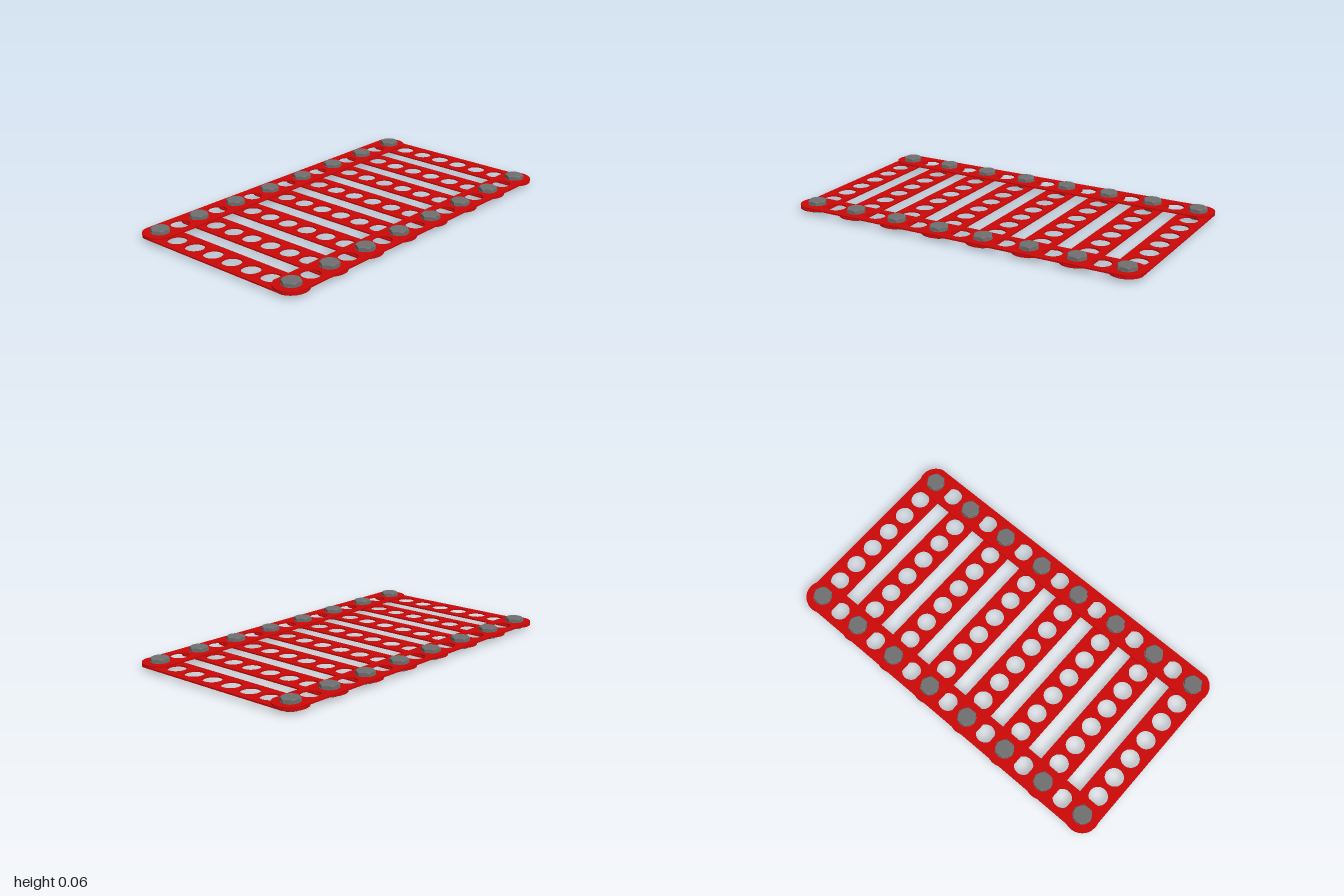
import * as THREE from 'three';

const PITCH = 0.13;      // hole spacing
const HOLE_R = 0.05;
const HALF_W = 0.0865;   // half width of a strip
const END_R = 0.09;      // radius of the rounded ends
const THICK = 0.008;

// Flat perforated strip along x, lying in the xz plane with its underside at y = 0
function stripGeometry(holes) {
  const reach = ((holes - 1) / 2) * PITCH;
  const a = Math.asin(HALF_W / END_R);
  const shape = new THREE.Shape();
  shape.absarc(reach, 0, END_R, -a, a, false);
  shape.absarc(-reach, 0, END_R, Math.PI - a, Math.PI + a, false);
  shape.closePath();
  for (let i = 0; i < holes; i++) {
    const hole = new THREE.Path();
    hole.absarc(-reach + i * PITCH, 0, HOLE_R, 0, Math.PI * 2, true);
    shape.holes.push(hole);
  }
  const geo = new THREE.ExtrudeGeometry(shape, { depth: THICK, bevelEnabled: false, curveSegments: 16 });
  return geo.rotateX(-Math.PI / 2);
}

// Hexagonal block with its upper corners chamfered, standing on y = 0
function hexGeometry(radius, height) {
  const flat = radius * Math.cos(Math.PI / 6);
  const geo = new THREE.CylinderGeometry(1, 1, height, 24, 2);
  const p = geo.attributes.position;
  for (let i = 0; i < p.count; i++) {
    const x = p.getX(i), y = p.getY(i), z = p.getZ(i);
    if (Math.hypot(x, z) < 0.5) continue;
    const sector = Math.PI / 3;
    const t = (Math.atan2(x, z) + Math.PI * 2) % sector - sector / 2;
    const hex = flat / Math.cos(t);
    const r = y > height * 0.4 ? flat * 0.97 : hex;
    const ny = Math.abs(y) < 1e-6 ? height / 2 - 0.0015 - (hex - flat) * 0.6 : y;
    p.setXYZ(i, x * r, ny, z * r);
  }
  const out = geo.toNonIndexed();
  out.computeVertexNormals();
  return out.translate(0, height / 2, 0);
}

export function createModel() {
  const model = new THREE.Group();
  model.name = 'perforatedGrid';
  const red = new THREE.MeshStandardMaterial({ color: 0xcc0808 });
  red.name = 'red paint';
  const grey = new THREE.MeshStandardMaterial({ color: 0x707070 });
  grey.name = 'grey steel';

  const add = (parent, geo, mat, name, x, y, z) => {
    const mesh = new THREE.Mesh(geo, mat);
    mesh.name = name;
    mesh.position.set(x, y, z);
    parent.add(mesh);
    return mesh;
  };

  const railGeo = stripGeometry(15);
  const slatGeo = stripGeometry(8).rotateY(Math.PI / 2);
  const headGeo = hexGeometry(0.0525, 0.021).rotateY(Math.PI / 2); // corners along x
  const nutGeo = hexGeometry(0.0535, 0.02).rotateX(Math.PI);       // corners along z
  const shankGeo = new THREE.CylinderGeometry(0.049, 0.049, 0.019, 24);
  const rowZ = 3.5 * PITCH;

  // Long rails on top
  for (const s of [-1, 1]) add(model, railGeo, red, s > 0 ? 'frontRail' : 'backRail', 0, 0.03, s * rowZ);

  // Cross slats, each bolted to both rails
  for (let i = 0; i < 8; i++) {
    const x = (i - 3.5) * PITCH * 2;
    add(model, slatGeo, red, 'crossSlat', x, 0.0195, 0);
    for (const s of [-1, 1]) {
      const bolt = new THREE.Group();
      bolt.name = 'bolt';
      bolt.position.set(x, 0, s * rowZ);
      add(bolt, headGeo, grey, 'boltHead', 0, 0.038, 0);
      add(bolt, shankGeo, grey, 'boltShank', 0, 0.0285, 0);
      add(bolt, nutGeo, grey, 'nut', 0, 0.02, 0);
      model.add(bolt);
    }
  }
  return model;
}
